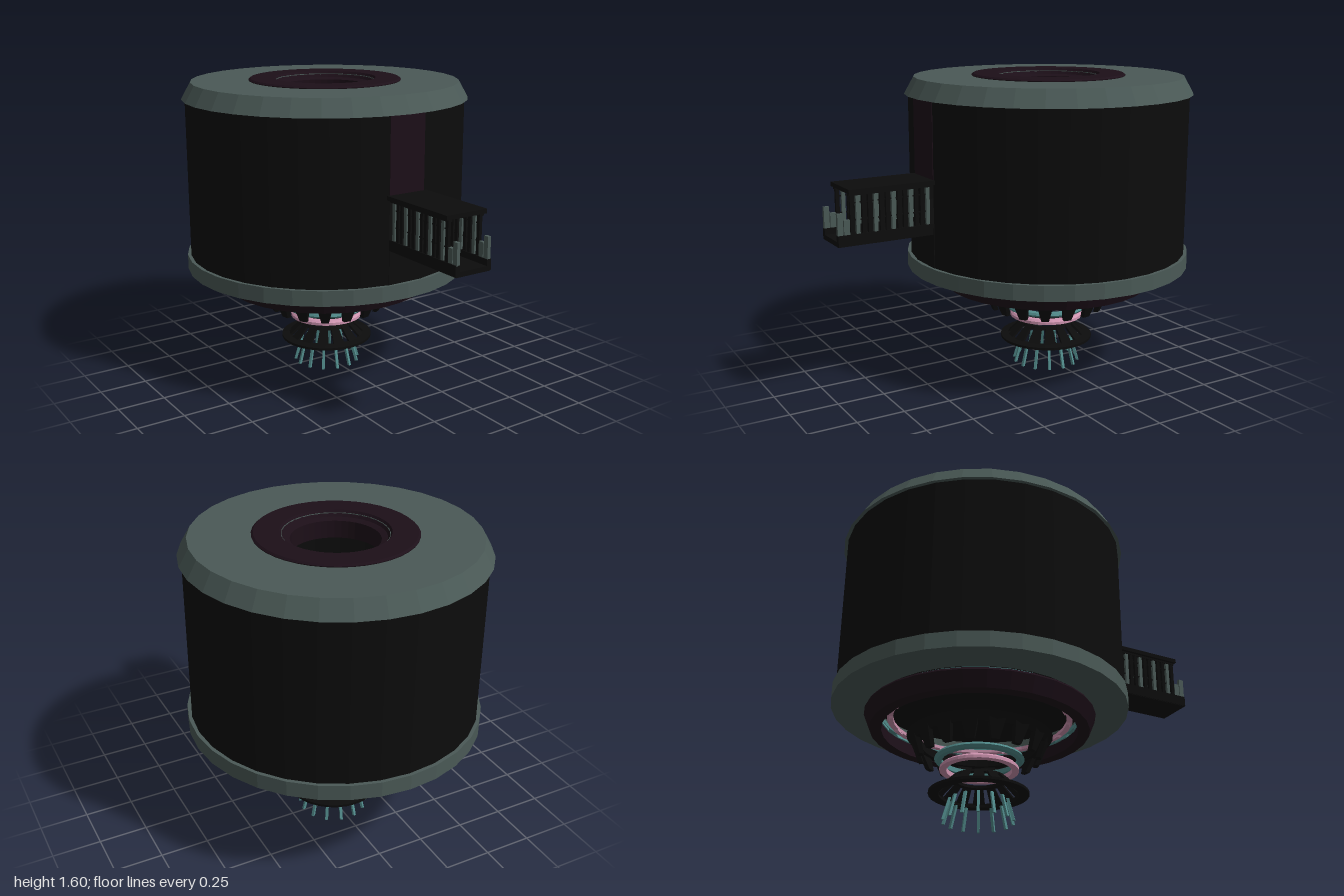
import * as THREE from 'three';

const mat = (color) => new THREE.MeshStandardMaterial({ color, flatShading: true, side: THREE.DoubleSide });
const SLATE = mat(0x4a5956), BLACK = mat(0x0c0c0c), PLUM = mat(0x1c0f18);
const TEAL = mat(0x528c8c), PINK = mat(0xcf94b0), PALE = mat(0xc4cfcc);

function add(parent, name, geometry, material, x = 0, y = 0, z = 0) {
  const m = new THREE.Mesh(geometry, material);
  m.name = name;
  m.position.set(x, y, z);
  parent.add(m);
  return m;
}

// Ring turned from a closed [radius, height] outline
function ring(parent, name, pts, material, segs = 32, start = 0, length = Math.PI * 2) {
  const outline = [...pts, pts[0]].map(([r, y]) => new THREE.Vector2(r, y));
  return add(parent, name, new THREE.LatheGeometry(outline, segs, start, length), material);
}

// Blade between two radii and heights, with its own width at each end
function blade(rTop, yTop, wTop, rLow, yLow, wLow, thick) {
  const g = new THREE.BoxGeometry(1, 1, thick);
  const p = g.attributes.position;
  for (let i = 0; i < p.count; i++) {
    const top = p.getY(i) > 0;
    p.setXYZ(i, p.getX(i) * (top ? wTop : wLow), top ? yTop : yLow, p.getZ(i) + (top ? rTop : rLow));
  }
  return g;
}

// Repeat a part around the main axis
function around(parent, name, count, offset, geometry, material) {
  const g = new THREE.Group();
  g.name = name;
  for (let i = 0; i < count; i++) {
    add(g, name + 'Part', geometry, material).rotation.y = offset + (i * Math.PI * 2) / count;
  }
  parent.add(g);
}

export function createModel() {
  const model = new THREE.Group();
  model.name = 'suspendedDrum';
  const drum = new THREE.Group();
  drum.name = 'drum';
  drum.position.z = -0.24;
  model.add(drum);

  // Main wall, with a gap at the front for the doorway
  const half = 0.137;
  ring(drum, 'wall', [[0.742, 0.65], [0.742, 1.51], [0.7, 1.51], [0.7, 0.65]], BLACK, 30, half, Math.PI * 2 - 2 * half);
  add(drum, 'doorPanel', new THREE.BoxGeometry(0.206, 0.41, 0.04), PLUM, 0, 1.305, 0.718);
  add(drum, 'doorSill', new THREE.BoxGeometry(0.206, 0.24, 0.04), BLACK, 0, 0.77, 0.718);

  // Roof and base rims
  ring(drum, 'roofRim', [[0.72, 1.5], [0.76, 1.5], [0.71, 1.588], [0.26, 1.588], [0.26, 1.52], [0.7, 1.5]], SLATE);
  ring(drum, 'roofCollar', [[0.4, 1.575], [0.405, 1.592], [0.395, 1.6], [0.27, 1.6], [0.25, 1.57],
    [0.22, 1.56], [0.22, 1.47], [0.28, 1.47]], PLUM, 40);
  ring(drum, 'baseRim', [[0.56, 0.58], [0.76, 0.58], [0.76, 0.66], [0.56, 0.66]], SLATE);

  // Inner room: floor, pattern and hoops
  add(drum, 'ceilingUnderBase', new THREE.CylinderGeometry(0.71, 0.71, 0.03, 32), BLACK, 0, 0.655, 0);
  add(drum, 'roomFloor', new THREE.CylinderGeometry(0.71, 0.71, 0.03, 32), BLACK, 0, 0.845, 0);
  add(drum, 'floorHub', new THREE.CylinderGeometry(0.04, 0.045, 0.05, 16), BLACK, 0, 0.885, 0);
  const pattern = new THREE.Group();
  pattern.name = 'floorPattern';
  drum.add(pattern);
  for (let i = 0; i < 4; i++) {
    const q = new THREE.Group();
    q.rotation.y = (i * Math.PI) / 2;
    pattern.add(q);
    add(q, 'inlay', new THREE.BoxGeometry(0.006, 0.008, 0.11), TEAL, 0.06, 0.863, 0.115);
    add(q, 'inlay', new THREE.BoxGeometry(0.006, 0.008, 0.11), TEAL, -0.06, 0.863, 0.115);
    add(q, 'inlay', new THREE.BoxGeometry(0.05, 0.008, 0.006), TEAL, 0.085, 0.863, 0.1);
    add(q, 'floorRib', new THREE.BoxGeometry(0.025, 0.02, 0.17), BLACK, 0, 0.868, 0.12);
  }
  [[0.217, 1.08, 0.06, PINK], [0.212, 1.04, -0.08, PALE], [0.2, 0.98, 0.05, TEAL]].forEach(([r, y, tilt, m]) => {
    const hoop = add(drum, 'roomHoop', new THREE.TorusGeometry(r, 0.007, 6, 40), m, 0, y, 0);
    hoop.rotation.set(Math.PI / 2 + tilt, tilt, 0);
  });

  // Lower rings hanging under the base
  ring(drum, 'tealCrown', [[0.51, 0.562], [0.55, 0.562], [0.55, 0.582], [0.51, 0.582]], TEAL);
  around(drum, 'tealTeeth', 16, 0.1, blade(0.53, 0.575, 0.13, 0.52, 0.545, 0.1, 0.03), TEAL);
  ring(drum, 'plumRing', [[0.56, 0.47], [0.592, 0.55], [0.585, 0.562], [0.55, 0.555], [0.51, 0.54], [0.5, 0.47]], PLUM);
  ring(drum, 'pinkInnerRing', [[0.445, 0.535], [0.475, 0.535], [0.475, 0.552], [0.445, 0.552]], PINK);
  around(drum, 'pinkInnerTabs', 16, 0, blade(0.46, 0.55, 0.08, 0.45, 0.525, 0.05, 0.02), PINK);

  // Toothed funnel
  ring(drum, 'funnelRing', [[0.335, 0.4], [0.372, 0.445], [0.3, 0.445], [0.295, 0.4]], BLACK);
  around(drum, 'funnelTeeth', 16, Math.PI / 16, blade(0.335, 0.42, 0.085, 0.298, 0.322, 0.04, 0.025), BLACK);

  // Two floating hoops
  ring(drum, 'tealHoop', [[0.19, 0.312], [0.215, 0.312], [0.228, 0.325], [0.222, 0.337], [0.19, 0.337]], TEAL);
  ring(drum, 'pinkHoop', [[0.165, 0.265], [0.2, 0.265], [0.2, 0.28], [0.19, 0.29], [0.165, 0.29]], PINK);

  // Spoked cone and the needles below it
  ring(drum, 'coneFlange', [[0.2, 0.14], [0.252, 0.14], [0.252, 0.153], [0.2, 0.16]], BLACK);
  ring(drum, 'coneNeck', [[0.115, 0.215], [0.145, 0.215], [0.135, 0.23], [0.115, 0.23]], BLACK);
  around(drum, 'coneSpokes', 14, Math.PI / 2, blade(0.128, 0.228, 0.04, 0.212, 0.148, 0.065, 0.016), BLACK);
  around(drum, 'needles', 14, Math.PI / 2, blade(0.146, 0.115, 0.014, 0.178, 0, 0.014, 0.014), TEAL);

  // Entrance bridge
  const bridge = new THREE.Group();
  bridge.name = 'bridge';
  model.add(bridge);
  add(bridge, 'deck', new THREE.BoxGeometry(0.2, 0.025, 0.52), BLACK, 0, 0.848, 0.74);
  add(bridge, 'bridgeRoof', new THREE.BoxGeometry(0.236, 0.022, 0.45), BLACK, 0, 1.103, 0.72);
  for (const s of [-1, 1]) {
    add(bridge, 'deckBeam', new THREE.BoxGeometry(0.025, 0.055, 0.5), BLACK, s * 0.092, 0.865, 0.75);
    add(bridge, 'roofRail', new THREE.BoxGeometry(0.022, 0.014, 0.44), BLACK, s * 0.092, 1.088, 0.72);
    add(bridge, 'midRail', new THREE.BoxGeometry(0.006, 0.006, 0.42), BLACK, s * 0.092, 1.045, 0.72);
    add(bridge, 'midRail', new THREE.BoxGeometry(0.006, 0.006, 0.42), BLACK, s * 0.092, 0.96, 0.72);
    for (let i = 0; i < 14; i++) {
      add(bridge, 'baluster', new THREE.BoxGeometry(0.016, 0.2, 0.019), i % 3 ? BLACK : SLATE, s * 0.092, 0.988, 0.525 + i * 0.0308);
    }
    add(bridge, 'endPost', new THREE.BoxGeometry(0.018, 0.11, 0.028), SLATE, s * 0.09, 0.944, 0.986);
    add(bridge, 'endStep', new THREE.BoxGeometry(0.018, 0.08, 0.03), SLATE, s * 0.09, 0.925, 0.953);
  }
  return model;
}
